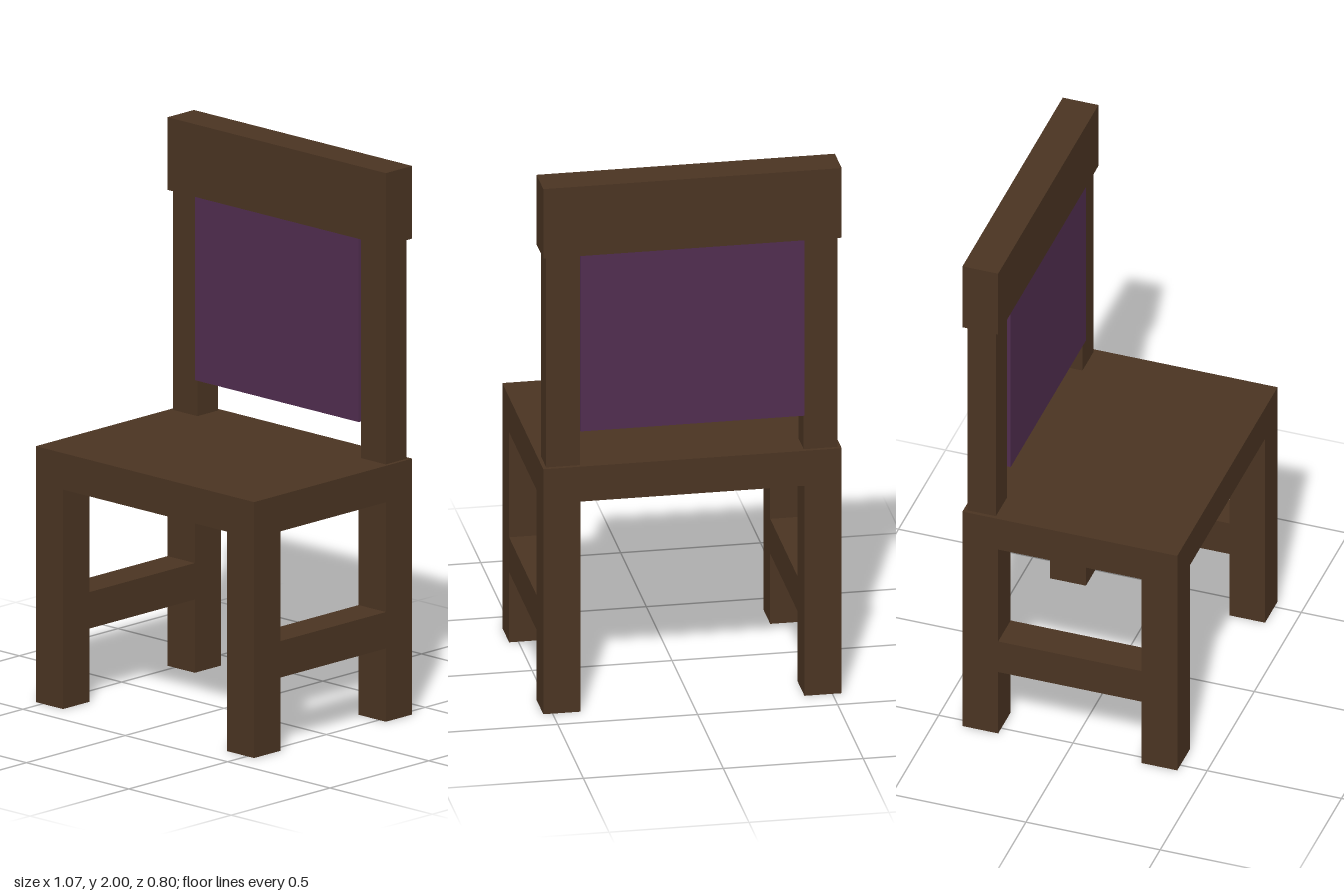
import * as THREE from 'three';

const wood = new THREE.MeshStandardMaterial({ color: 0x4a3422 });
wood.name = 'dark wood';
const fabric = new THREE.MeshStandardMaterial({ color: 0x502d4f });
fabric.name = 'purple fabric';

// Box given by its extents on each axis
function block(name, material, [x0, x1], [y0, y1], [z0, z1]) {
  const mesh = new THREE.Mesh(new THREE.BoxGeometry(x1 - x0, y1 - y0, z1 - z0), material);
  mesh.position.set((x0 + x1) / 2, (y0 + y1) / 2, (z0 + z1) / 2);
  mesh.name = name;
  return mesh;
}

export function createModel() {
  const chair = new THREE.Group();
  chair.name = 'chair';

  const W = 0.533, D = 0.4, T = 0.133; // half width, half depth, timber thickness
  const seatBottom = 0.8, seatTop = 0.933, railBottom = 1.735;
  const back = [-D, -D + T];

  // Seat slab
  chair.add(block('seat', wood, [-W, W], [seatBottom, seatTop], [-D, D]));

  // Legs, side stretchers and back posts, mirrored left and right
  for (const side of [1, -1]) {
    const label = side > 0 ? 'left' : 'right';
    const span = (a, b) => (side > 0 ? [a, b] : [-b, -a]);
    const legX = span(W - T, W);
    chair.add(
      block(`${label}FrontLeg`, wood, legX, [0, seatBottom], [D - T, D]),
      block(`${label}BackLeg`, wood, legX, [0, seatBottom], back),
      block(`${label}Stretcher`, wood, legX, [0.267, 0.4], [-D + T, D - T]),
      block(`${label}BackPost`, wood, span(0.4, 0.52), [seatTop, railBottom], [-0.385, -0.28]),
    );
  }

  // Upholstered back panel and top rail
  chair.add(
    block('backPanel', fabric, [-0.4, 0.4], [1.067, railBottom], back),
    block('topRail', wood, [-W, W], [railBottom, 2], back),
  );

  return chair;
}
